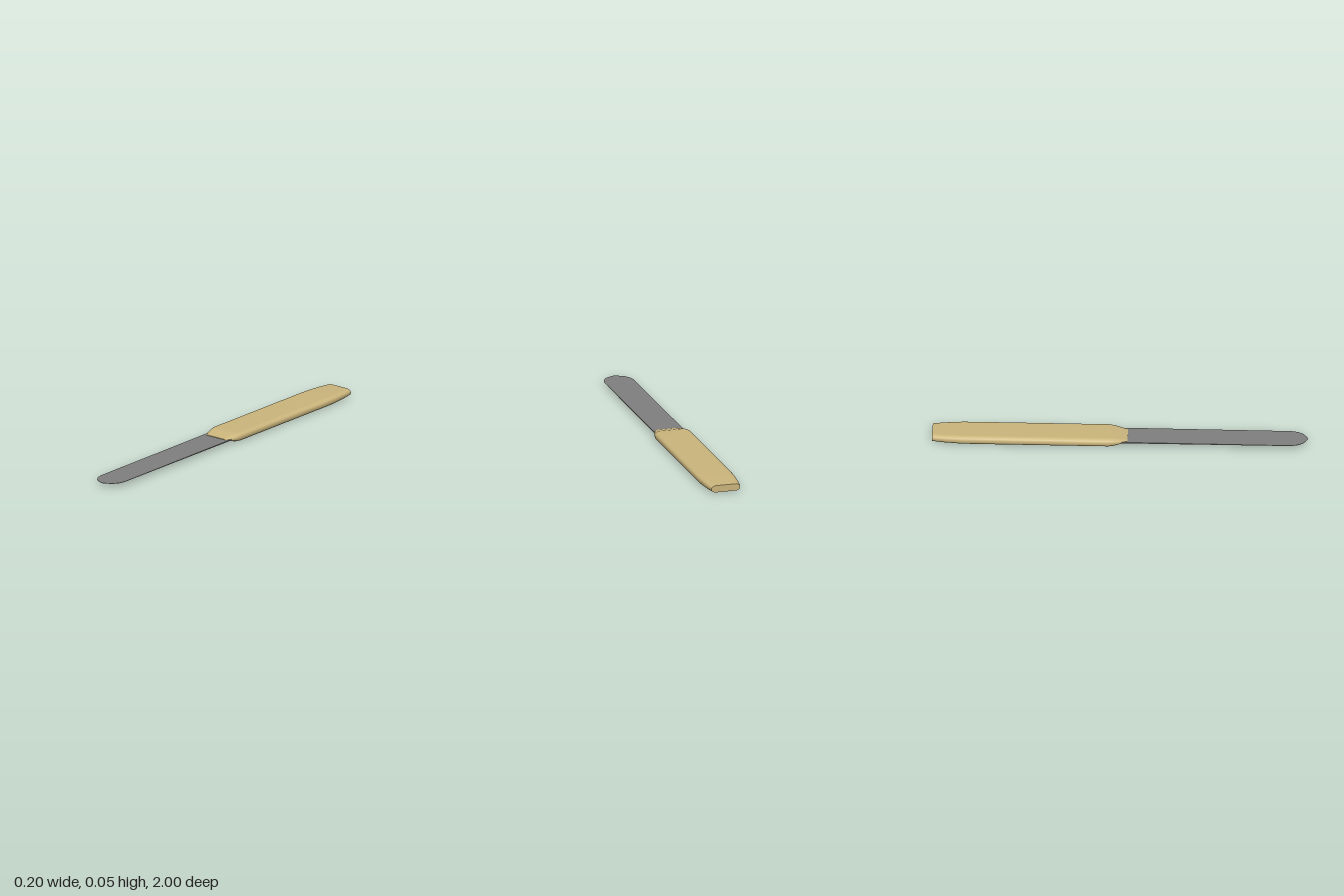
import * as THREE from 'three';

const MID = 0.023; // height of the knife's centre plane

// Rounded-rectangle ring, counter-clockwise seen from the front
function roundedRing(w, h) {
  const rx = Math.min(0.028, w * 0.35), ry = h * 0.85, ring = [], n = 6;
  [[1, 1], [-1, 1], [-1, -1], [1, -1]].forEach(([sx, sy], q) => {
    for (let k = 0; k <= n; k++) {
      const a = (q + k / n) * Math.PI / 2;
      ring.push([sx * (w - rx) + Math.cos(a) * rx, sy * (h - ry) + Math.sin(a) * ry]);
    }
  });
  return ring;
}

const boxRing = (w, h) => [[w, -h], [w, h], [-w, h], [-w, -h]];

// Skins sections [z, half width, half thickness], with separate end caps
function loft(sections, ringOf) {
  const pos = [], idx = [];
  const rings = sections.map(([z, w, h]) => ringOf(w, h).map(([x, y]) => [x, y + MID, z]));
  const n = rings[0].length;
  rings.forEach(r => r.forEach(p => pos.push(...p)));
  for (let i = 0; i < rings.length - 1; i++) {
    for (let j = 0; j < n; j++) {
      const a = i * n + j, b = i * n + (j + 1) % n;
      idx.push(a, b, b + n, a, b + n, a + n);
    }
  }
  [[rings[0], true], [rings[rings.length - 1], false]].forEach(([r, back]) => {
    const s = pos.length / 3;
    r.forEach(p => pos.push(...p));
    for (let j = 1; j < n - 1; j++) {
      if (back) idx.push(s, s + j + 1, s + j);
      else idx.push(s, s + j, s + j + 1);
    }
  });
  const g = new THREE.BufferGeometry();
  g.setAttribute('position', new THREE.Float32BufferAttribute(pos, 3));
  g.setIndex(idx);
  g.computeVertexNormals();
  return g;
}

export function createModel() {
  const model = new THREE.Group();
  model.name = 'knife';
  const tan = new THREE.MeshStandardMaterial({ color: 0xccb67d });
  tan.name = 'tan handle';
  const steel = new THREE.MeshStandardMaterial({ color: 0x808080 });
  steel.name = 'grey steel';

  // Handle: flat rounded bar, narrowed at the butt and pinched at the blade
  const handle = new THREE.Mesh(loft([
    [-1, 0.08, 0.019], [-0.94, 0.09, 0.021], [-0.84, 0.099, 0.023], [-0.75, 0.1, 0.023],
    [-0.2, 0.1, 0.023], [-0.06, 0.1, 0.023], [-0.03, 0.094, 0.021],
    [0, 0.085, 0.014], [0.04, 0.07, 0.006],
  ], roundedRing), tan);
  handle.name = 'handle';
  model.add(handle);

  // Blade: thin strip, thinning towards a rounded tip
  const bladeGeometry = loft([
    [0, 0.082, 0.003], [0.45, 0.082, 0.002], [0.91, 0.082, 0.001], [0.945, 0.073, 0.001],
    [0.975, 0.052, 0.001], [0.99, 0.026, 0.001], [1, 0.003, 0.001],
  ], boxRing).toNonIndexed();
  bladeGeometry.computeVertexNormals();
  const blade = new THREE.Mesh(bladeGeometry, steel);
  blade.name = 'blade';
  model.add(blade);

  return model;
}
